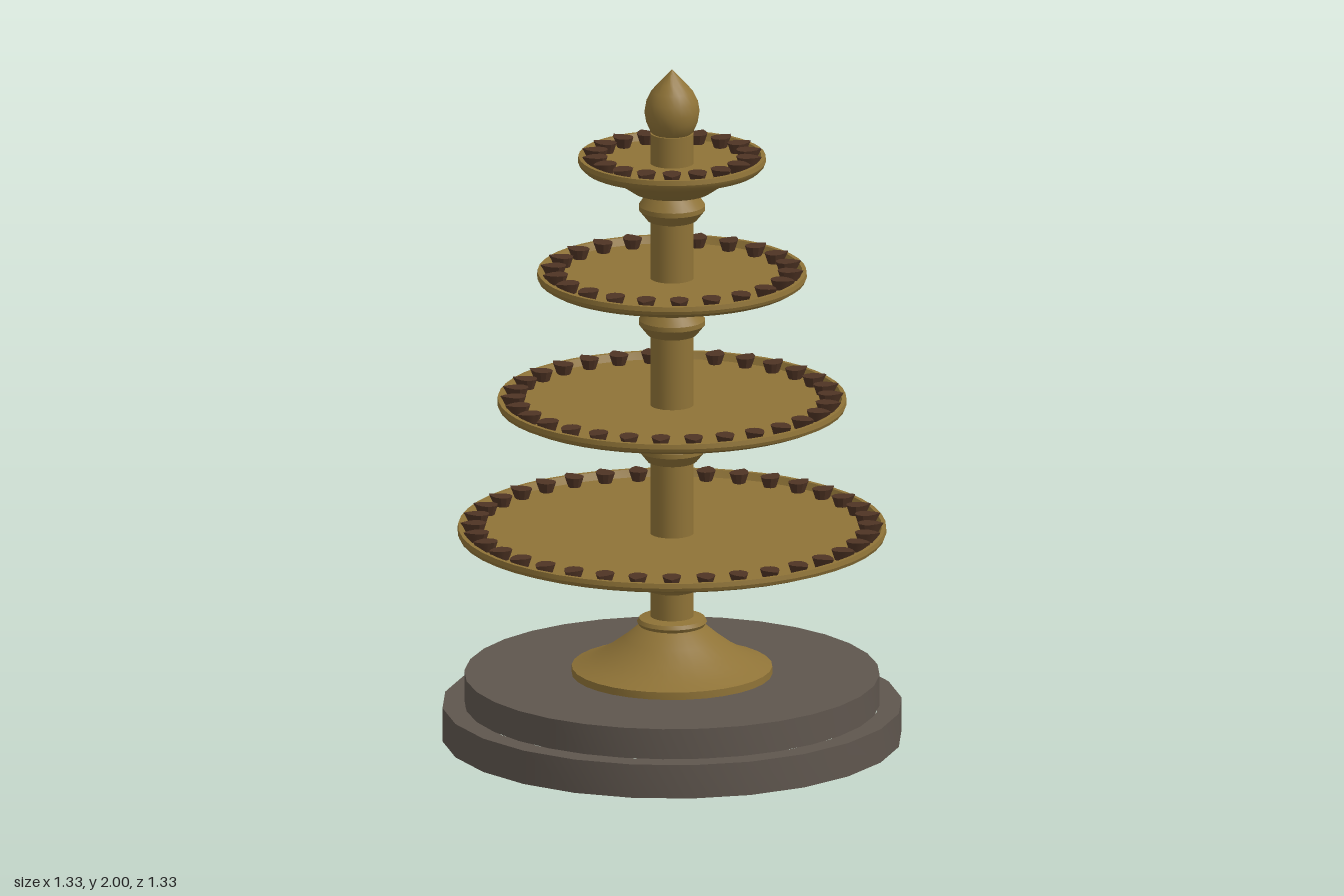
import * as THREE from 'three';
import { toCreasedNormals } from 'three/addons/utils/BufferGeometryUtils.js';

const brass = new THREE.MeshStandardMaterial({ color: 0x8f7337 });
brass.name = 'brass';
const stone = new THREE.MeshStandardMaterial({ color: 0x5f564e, side: THREE.DoubleSide });
stone.name = 'stone';
const clay = new THREE.MeshStandardMaterial({ color: 0x4f3424 });
clay.name = 'clay';

// Turned part from [radius, height] pairs, listed from bottom to top
function turned(name, profile, material, sides = 32) {
  const points = profile.map(([r, y]) => new THREE.Vector2(r, y));
  const geometry = toCreasedNormals(new THREE.LatheGeometry(points, sides), 0.5);
  const mesh = new THREE.Mesh(geometry, material);
  mesh.name = name;
  return mesh;
}

// Small bowl whose rim is drawn out to a spout towards +z
function lampGeometry() {
  const geometry = new THREE.CylinderGeometry(0.028, 0.017, 0.034, 10);
  const p = geometry.attributes.position;
  for (let i = 0; i < p.count; i++) {
    const r = Math.hypot(p.getX(i), p.getZ(i));
    const c = r > 0 ? Math.max(0, p.getZ(i) / r) : 0;
    p.setZ(i, p.getZ(i) + r * 0.68 * c ** 5);
  }
  return toCreasedNormals(geometry, 0.5);
}

export function createModel() {
  const model = new THREE.Group();
  model.name = 'tieredLampStand';

  // Stepped plinth, open underneath
  model.add(turned('lowerPlinth', [[0.665, 0], [0.665, 0.1], [0.6, 0.1]], stone, 24));
  model.add(turned('upperPlinth', [[0.6, 0.1], [0.6, 0.19], [0, 0.19]], stone));

  // Flared foot and collar
  model.add(turned('foot', [
    [0.29, 0.19], [0.29, 0.212], [0.245, 0.228], [0.19, 0.258],
    [0.14, 0.295], [0.105, 0.325], [0.08, 0.34],
  ], brass));
  model.add(turned('collar', [
    [0.075, 0.328], [0.095, 0.335], [0.101, 0.345], [0.095, 0.356], [0.06, 0.362],
  ], brass));

  // Central column with a knop under every dish
  model.add(turned('column', [[0.063, 0.33], [0.063, 1.81], [0, 1.81]], brass, 24));
  for (const y of [0.48, 0.865, 1.245, 1.588]) {
    model.add(turned('knop', [
      [0.06, y - 0.042], [0.072, y - 0.038], [0.096, y - 0.008],
      [0.096, y + 0.006], [0.075, y + 0.038], [0.06, y + 0.042],
    ], brass, 24));
  }

  // Dishes, each ringed with lamps
  const lamp = lampGeometry();
  const tiers = [
    { radius: 0.62, y: 0.515, lamps: 36 },
    { radius: 0.505, y: 0.9, lamps: 30 },
    { radius: 0.39, y: 1.28, lamps: 22 },
    { radius: 0.272, y: 1.625, lamps: 18 },
  ];
  for (const { radius: R, y, lamps } of tiers) {
    const tier = new THREE.Group();
    tier.name = 'tier';
    tier.position.y = y;
    tier.add(turned('dish', [
      [0.06, 0], [0.07 + 0.16 * R, 0.012], [0.62 * R, 0.05], [0.94 * R, 0.08],
      [R - 0.004, 0.092], [R, 0.102], [R - 0.002, 0.116], [R - 0.014, 0.116],
      [R - 0.024, 0.095], [0.05, 0.095],
    ], brass, 48));
    for (let i = 0; i < lamps; i++) {
      const a = (i / lamps) * Math.PI * 2;
      const mesh = new THREE.Mesh(lamp, clay);
      mesh.name = 'lamp';
      mesh.position.set(Math.sin(a) * (R - 0.056), 0.108, Math.cos(a) * (R - 0.056));
      mesh.rotation.y = a;
      tier.add(mesh);
    }
    model.add(tier);
  }

  // Pointed bud on top
  model.add(turned('finial', [
    [0.04, 1.795], [0.062, 1.815], [0.075, 1.845], [0.08, 1.875], [0.075, 1.905],
    [0.06, 1.935], [0.038, 1.96], [0.016, 1.983], [0, 2],
  ], brass, 24));
  return model;
}
